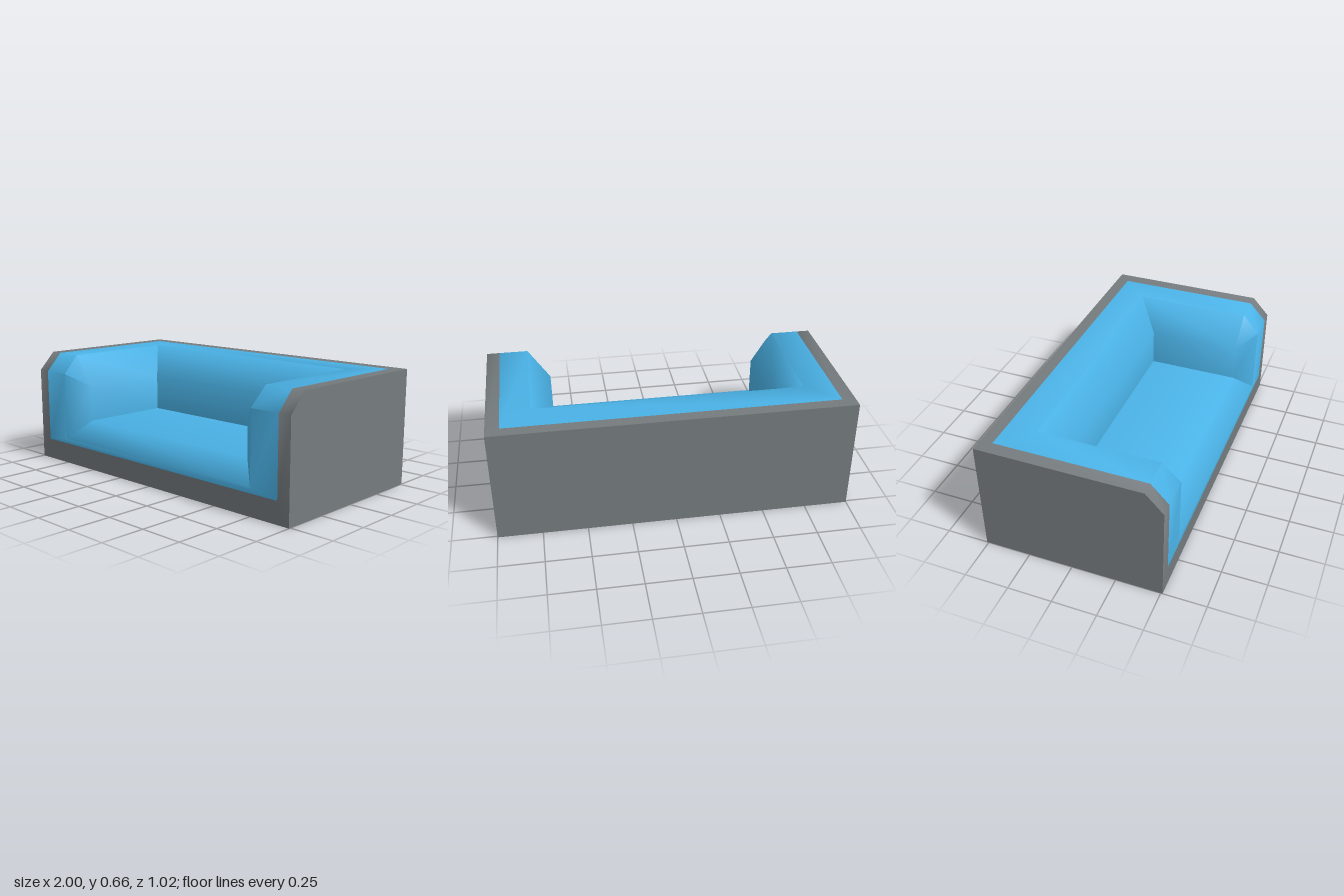
import * as THREE from 'three';
import { toCreasedNormals } from 'three/addons/utils/BufferGeometryUtils.js';

const CREASE = THREE.MathUtils.degToRad(58);
const mirror = ([x, y, z]) => [-x, y, z];

// Mesh from convex polygons, with soft bevels and sharp corners.
function polygonMesh(name, polygons, material) {
  const positions = [];
  for (const p of polygons) {
    for (let i = 1; i < p.length - 1; i++) positions.push(...p[0], ...p[i], ...p[i + 1]);
  }
  const geometry = new THREE.BufferGeometry();
  geometry.setAttribute('position', new THREE.Float32BufferAttribute(positions, 3));
  const mesh = new THREE.Mesh(toCreasedNormals(geometry, CREASE), material);
  mesh.name = name;
  return mesh;
}

// Closed loop round the opening: front bottom, arm front, arm top, back corner, then mirrored.
const loop = (half) => [...half, ...half.map(mirror).reverse()];

// Band of faces between an inner and an outer loop.
function band(inner, outer) {
  return inner.map((p, i) => {
    const j = (i + 1) % inner.length;
    const face = [p, outer[i], outer[j]];
    if (inner[j].some((v, k) => v !== p[k])) face.push(inner[j]);
    return face;
  });
}

export function createModel() {
  const blue = new THREE.MeshStandardMaterial({ color: 0x4ab2e6 });
  blue.name = 'blue upholstery';
  const grey = new THREE.MeshStandardMaterial({ color: 0x757b7e });
  grey.name = 'grey shell';

  // Loops from the cavity outwards
  const cavity = [[0.635, 0.265, 0.4], [0.635, 0.48, 0.4], [0.635, 0.48, 0.4], [0.635, 0.48, -0.145]];
  const bevel = [[0.75, 0.15, 0.51], [0.75, 0.555, 0.51], [0.76, 0.66, 0.41], [0.76, 0.66, -0.27]];
  const border = [[0.925, 0.122, 0.51], [0.925, 0.555, 0.51], [0.925, 0.66, 0.41], [0.925, 0.66, -0.44]];
  const outer = [[1, 0, 0.51], [1, 0.555, 0.51], [1, 0.66, 0.41], [1, 0.66, -0.51]];

  // Seat, inner arm walls and backrest
  const [a, b, , d] = cavity;
  const e = [0.635, 0.265, -0.145];
  const armWall = [a, b, d, e];
  const cushion = [
    [mirror(a), a, e, mirror(e)],
    [mirror(e), e, d, mirror(d)],
    armWall,
    armWall.map(mirror).reverse(),
    ...band(loop(cavity), loop(bevel)),
    ...band(loop(bevel), loop(border)),
  ];

  // Shell: visible rim, sides, back and underside
  const [frontFoot, armFront, armTop, backTop] = outer;
  const backFoot = [1, 0, -0.51];
  const side = [frontFoot, backFoot, backTop, armTop, armFront];
  const shell = [
    ...band(loop(border), loop(outer)),
    side,
    side.map(mirror).reverse(),
    [backFoot, mirror(backFoot), mirror(backTop), backTop],
    [mirror(frontFoot), mirror(backFoot), backFoot, frontFoot],
  ];

  const sofa = new THREE.Group();
  sofa.name = 'sofa';
  sofa.add(polygonMesh('upholstery', cushion, blue), polygonMesh('shell', shell, grey));
  return sofa;
}
